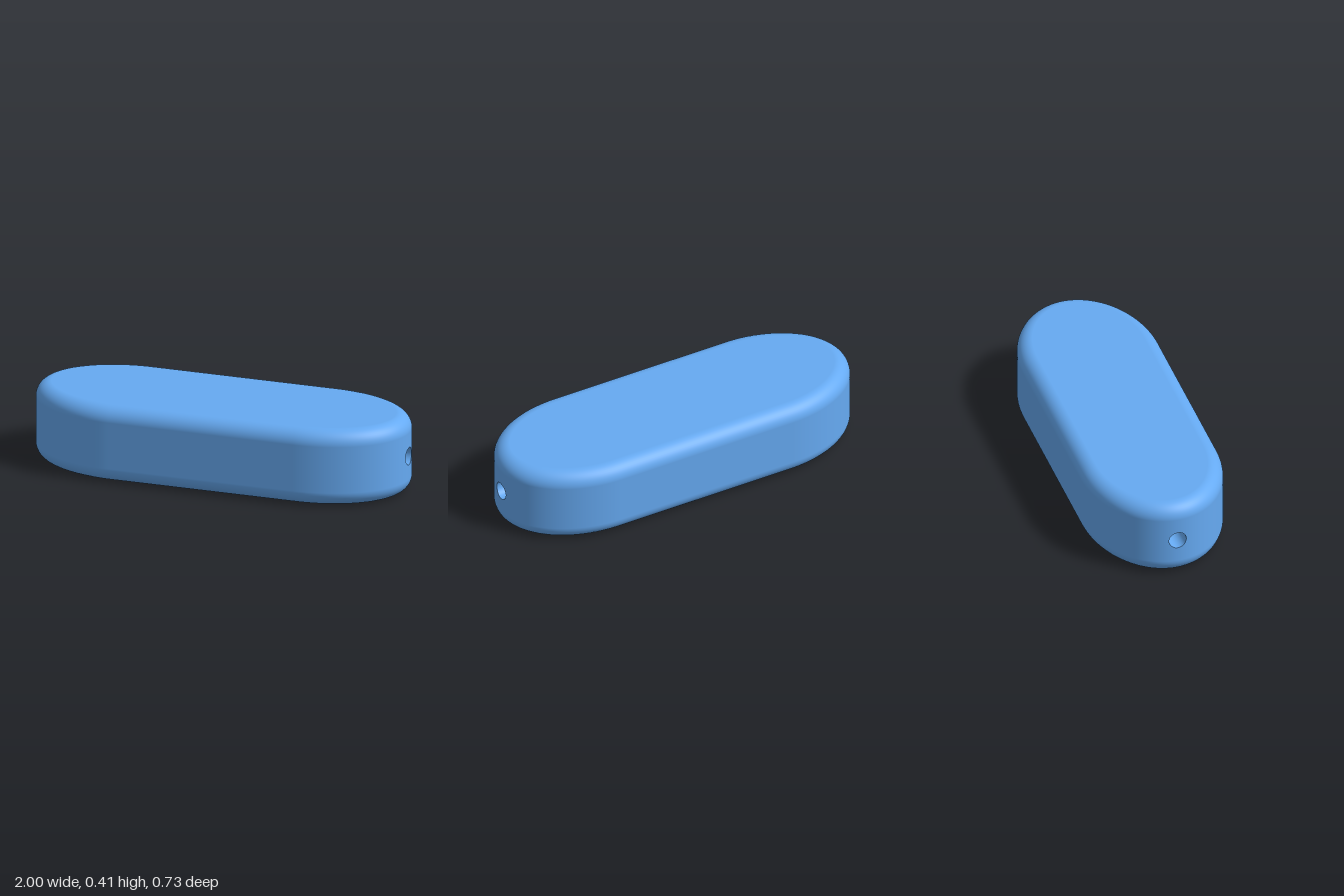
import * as THREE from 'three';

const H = 0.408, STRAIGHT = 0.5, RX = 0.5, RZ = 0.365; // height, half straight, end ellipse
const FILLET = 0.08, HOLE = 0.046, MID = H / 2;
const HALF = MID - FILLET;              // half height of the upright wall
const T0 = Math.asin(HALF / RZ);        // angle of the end panel that holds the bore
const ARC = 24, PANEL = 16;

// point and outward normal on the plan outline; side = +1 or -1 end
function outline(side, t) {
  const n = new THREE.Vector3(side * Math.cos(t) / RX, 0, Math.sin(t) / RZ).normalize();
  return { p: new THREE.Vector3(side * (STRAIGHT + RX * Math.cos(t)), 0, RZ * Math.sin(t)), n };
}

// x of the end surface at a given z
const endX = z => STRAIGHT + RX * Math.sqrt(1 - (z / RZ) ** 2);

// grid surface from fn(i, j) -> { p, n }; triangles are wound to agree with the normals
function grid(nu, nv, fn) {
  const pos = [], nor = [], pts = [], index = [];
  for (let i = 0; i <= nu; i++) for (let j = 0; j <= nv; j++) {
    const q = fn(i, j);
    pts.push(q);
    pos.push(...q.p.toArray());
    nor.push(...q.n.toArray());
  }
  const e1 = new THREE.Vector3(), e2 = new THREE.Vector3();
  const tri = (a, b, c) => {
    e1.subVectors(pts[b].p, pts[a].p);
    e2.subVectors(pts[c].p, pts[a].p);
    const d = e1.cross(e2).dot(pts[a].n);
    if (d > 0) index.push(a, b, c); else index.push(a, c, b);
  };
  for (let i = 0; i < nu; i++) for (let j = 0; j < nv; j++) {
    const a = i * (nv + 1) + j, b = a + nv + 1;
    tri(a, b, b + 1);
    tri(a, b + 1, a + 1);
  }
  const g = new THREE.BufferGeometry();
  g.setAttribute('position', new THREE.Float32BufferAttribute(pos, 3));
  g.setAttribute('normal', new THREE.Float32BufferAttribute(nor, 3));
  g.setIndex(index);
  return g;
}

export function createModel() {
  const group = new THREE.Group();
  const material = new THREE.MeshStandardMaterial({ color: 0x66aaf2 });
  const add = (name, geometry) => {
    const mesh = new THREE.Mesh(geometry, material);
    mesh.name = name;
    group.add(mesh);
  };

  // outline samples: one long side (face = +1 front, -1 back) between the end panels
  const longSide = face => {
    const list = [];
    for (const side of [1, -1]) for (let i = 0; i <= ARC; i++) {
      const f = side > 0 ? i / ARC : 1 - i / ARC;
      list.push(outline(side, face * (T0 + (Math.PI / 2 - T0) * f)));
    }
    return list;
  };
  const endPanel = (side, dir) => Array.from({ length: PANEL - 1 },
    (_, i) => outline(side, dir * T0 * (1 - 2 * (i + 1) / PANEL)));
  const loop = [...longSide(1), ...endPanel(-1, 1), ...longSide(-1).reverse(), ...endPanel(1, -1)];
  loop.push(loop[0]);

  // upright long walls
  for (const face of [1, -1]) {
    const pts = longSide(face);
    add(face > 0 ? 'frontWall' : 'backWall', grid(pts.length - 1, 1, (i, j) => ({
      p: pts[i].p.clone().setY(j ? H - FILLET : FILLET), n: pts[i].n,
    })));
  }

  // rounded rims and flat faces, top and bottom
  for (const s of [1, -1]) {
    const rim = (q, a) => ({
      p: q.p.clone().addScaledVector(q.n, -FILLET * (1 - Math.cos(a)))
        .setY(MID + s * (HALF + FILLET * Math.sin(a))),
      n: q.n.clone().multiplyScalar(Math.cos(a)).setY(s * Math.sin(a)),
    });
    const prefix = s > 0 ? 'top' : 'bottom';
    add(prefix + 'Rim', grid(loop.length - 1, 12, (i, j) => rim(loop[i], j / 12 * Math.PI / 2)));
    add(prefix + 'Face', grid(loop.length - 1, 1, (i, j) => {
      const { p } = rim(loop[i], Math.PI / 2);
      if (j) p.z = 0; // strips run from the edge to the centre line
      return { p, n: new THREE.Vector3(0, s, 0) };
    }));
  }

  // curved end panels, blending from the round bore to a square border
  const N = PANEL * 4;
  const border = k => {
    const edge = Math.floor(k / PANEL) % 4, f = -1 + 2 * (k % PANEL) / PANEL;
    return [[1, f], [-f, 1], [-1, -f], [f, -1]][edge];
  };
  for (const side of [1, -1]) {
    add(side > 0 ? 'leftEnd' : 'rightEnd', grid(N, 8, (i, j) => {
      const [u, v] = border(i), a = i / N * Math.PI * 2 - Math.PI / 4, f = j / 8;
      const z = THREE.MathUtils.lerp(HOLE * Math.cos(a), RZ * Math.sin(T0 * u), f);
      const y = MID + THREE.MathUtils.lerp(HOLE * Math.sin(a), HALF * v, f);
      const { p, n } = outline(side, Math.asin(z / RZ));
      return { p: p.setY(y), n };
    }));
  }

  // bore running the full length
  add('bore', grid(N, 1, (i, j) => {
    const a = i / N * Math.PI * 2 - Math.PI / 4, z = HOLE * Math.cos(a), y = HOLE * Math.sin(a);
    return {
      p: new THREE.Vector3((j ? 1 : -1) * endX(z), MID + y, z),
      n: new THREE.Vector3(0, -Math.sin(a), -Math.cos(a)),
    };
  }));
  return group;
}
